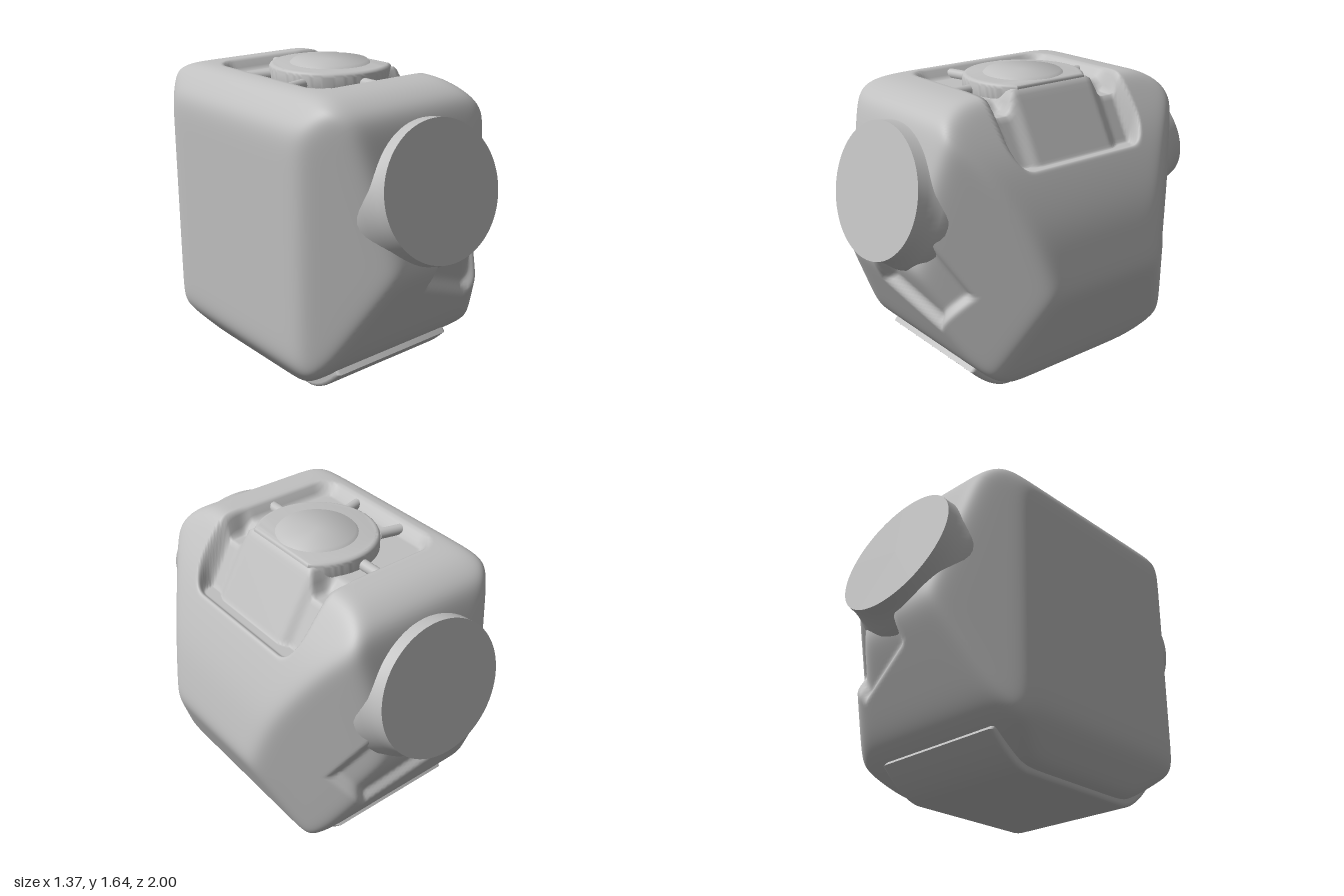
import * as THREE from 'three';
import { mergeVertices, toCreasedNormals } from 'three/addons/utils/BufferGeometryUtils.js';

const shell = new THREE.MeshStandardMaterial({ color: 0xc0c0c0 });
shell.name = 'shell grey';

const smooth = (v, a, b) => THREE.MathUtils.smoothstep(v, a, b);

// Faces of the body: a point on each face, then its outward direction.
// The body is symmetric in z, so only the z >= 0 half is listed.
const FACES = [
  [0, 1.605, 0, 0, 1, 0],             // top
  [0, 0.03, 0, 0, -1, 0],             // bottom
  [-0.688, 0.8, 0, -1, 0, 0],         // flat back
  [0.69, 0.66, 0, 0.32, 0.07, 0],     // curved nose, three facets
  [0.62, 0.98, 0, 0.34, 0.16, 0],
  [0.46, 1.33, 0, 0.24, 0.19, 0],
  [0.69, 0.66, 0, 0.53, -0.23, 0],    // undercut below the nose
  [0.41, 0.08, 0, 0.09, -0.1, 0],
  [-0.62, 1.525, 0, -0.77, 0.64, 0],  // back bevels
  [-0.69, 0.23, 0, -0.19, -0.155, 0],
  [0, 1.48, 0.755, 0, 0.18, 0.68],    // upper cheek
  [0, 0.68, 0.89, 0, -0.25, 0.48],    // lower cheek
  [0, 1.56, 0.68, 0, 0.86, 0.5],      // shoulder
  [0, 0.19, 0.61, 0, -0.2, 0.15],     // bottom rise
  [-0.57, 0.8, 0.69, -0.28, 0, 0.235], // corner chamfers
  [0.49, 0.8, 0.59, 0.47, 0, 0.39],
];
const CENTRE = new THREE.Vector3(0, 0.75, 0);

// Outline of the pocket in each cheek, counter-clockwise in x and y.
const POCKET = [[-0.14, 0.62], [0.27, 0.44], [0.44, 0.66], [0.27, 1.02], [-0.1, 0.9]];

function pocketDepth(x, y) {
  let d = -1;
  POCKET.forEach(([ax, ay], i) => {
    const [bx, by] = POCKET[(i + 1) % POCKET.length];
    const ex = bx - ax, ey = by - ay;
    d = Math.max(d, ((x - ax) * ey - (y - ay) * ex) / Math.hypot(ex, ey));
  });
  return 0.07 * smooth(-d, 0, 0.08);
}

// Floor of the tray in the top, running down the nose to a ledge.
function trayFloor(x, z) {
  const groove = 0.06 * smooth(Math.abs(z), 0.24, 0.32) * smooth(x, 0.08, 0.16);
  const panel = 1.62 - 1.8 * (x - 0.2);
  const deck = 1.545 + 0.075 * smooth(x, 0.06, 0.14) * (1 - smooth(Math.abs(z), 0.24, 0.32));
  return Math.max(1.25, Math.min(deck, panel) - groove);
}

// Signed distance to the rounded outline of the tray.
function trayEdge(x, z) {
  const r = 0.12;
  const qx = Math.abs(x - 0.015) - 0.485 + r, qz = Math.abs(z) - 0.45 + r;
  return Math.hypot(Math.max(qx, 0), Math.max(qz, 0)) + Math.min(Math.max(qx, qz), 0) - r;
}

function bodyGeometry() {
  let g = new THREE.BoxGeometry(2, 2, 2, 90, 90, 90);
  g.deleteAttribute('uv');
  g.deleteAttribute('normal');
  g = mergeVertices(g, 1e-4);
  const planes = FACES.map(([px, py, pz, nx, ny, nz]) => {
    const n = new THREE.Vector3(nx, ny, nz).normalize();
    return { n, d: n.dot(new THREE.Vector3(px, py, pz).sub(CENTRE)) };
  });
  const pos = g.attributes.position, v = new THREE.Vector3(), k = 38;
  for (let i = 0; i < pos.count; i++) {
    v.fromBufferAttribute(pos, i).normalize();
    const side = v.z < 0 ? -1 : 1;
    v.z *= side;
    // soft intersection of the faces, giving rounded edges
    let sum = 0;
    for (const { n, d } of planes) sum += Math.pow(Math.max(0, n.dot(v) / d), k);
    v.multiplyScalar(Math.pow(sum, -1 / k)).add(CENTRE);
    if (v.z > 0.4) v.z -= pocketDepth(v.x, v.y);
    if (v.y > 1.2) {
      const drop = Math.max(0, v.y - trayFloor(v.x, v.z));
      v.y -= drop * smooth(-trayEdge(v.x, v.z), 0, 0.05);
    }
    pos.setXYZ(i, v.x, v.y, v.z * side);
  }
  g.computeVertexNormals();
  return g;
}

function add(parent, name, geometry) {
  const mesh = new THREE.Mesh(geometry, shell);
  mesh.name = name;
  parent.add(mesh);
  return mesh;
}

export function createModel() {
  const model = new THREE.Group();
  model.name = 'housing';
  add(model, 'body', bodyGeometry());

  // tilted round boss on each cheek, flared into the body
  const profile = [[0.43, -0.3], [0.43, -0.165], [0.41, -0.125], [0.393, -0.085],
    [0.385, -0.05], [0.38, 0], [0, 0]].map(([r, y]) => new THREE.Vector2(r, y));
  const bossGeometry = toCreasedNormals(new THREE.LatheGeometry(profile, 72), 0.7);
  for (const side of [1, -1]) {
    const boss = add(model, side > 0 ? 'frontBoss' : 'rearBoss', bossGeometry);
    boss.scale.z = 0.926;
    boss.rotation.x = side * 1.312;
    boss.position.set(-0.08, 1.14, side * 0.91);
  }

  // base pad that curves up at both ends
  const pad = new THREE.Shape();
  pad.moveTo(-0.36, 0.02);
  pad.lineTo(0.36, 0.02);
  pad.quadraticCurveTo(0.46, 0.025, 0.585, 0.16);
  pad.lineTo(0.5, 0.25);
  pad.lineTo(-0.5, 0.25);
  pad.lineTo(-0.585, 0.16);
  pad.quadraticCurveTo(-0.46, 0.025, -0.36, 0.02);
  const padGeometry = new THREE.ExtrudeGeometry(pad, {
    depth: 0.74, bevelSize: 0.02, bevelThickness: 0.02, bevelSegments: 3, curveSegments: 12,
  });
  padGeometry.rotateY(Math.PI / 2);
  add(model, 'basePad', toCreasedNormals(padGeometry, 0.6)).position.x = -0.46;

  // round cap in the tray, cut flat toward the nose
  const cap = new THREE.Shape();
  cap.absarc(-0.03, 0, 0.3, 0.795, Math.PI * 2 - 0.795, false);
  const capGeometry = new THREE.ExtrudeGeometry(cap, {
    depth: 0.1, bevelSize: 0.025, bevelThickness: 0.025, bevelSegments: 4, curveSegments: 48,
  });
  capGeometry.rotateX(-Math.PI / 2);
  add(model, 'cap', toCreasedNormals(capGeometry, 0.6)).position.y = 1.497;
  const disc = add(model, 'capDisc', toCreasedNormals(new THREE.CylinderGeometry(0.2, 0.23, 0.03, 56), 0.9));
  disc.position.set(-0.03, 1.621, 0);

  // small ribs joining the cap to the tray wall
  for (const side of [1, -1]) {
    for (const [x, z, turn] of [[-0.39, 0.16, 0.25], [-0.07, 0.385, Math.PI / 2]]) {
      const rib = add(model, 'capRib', new THREE.CylinderGeometry(0.03, 0.03, 0.13, 16).rotateZ(Math.PI / 2));
      rib.position.set(x, 1.56, side * z);
      rib.rotation.y = side * turn;
    }
  }
  return model;
}
